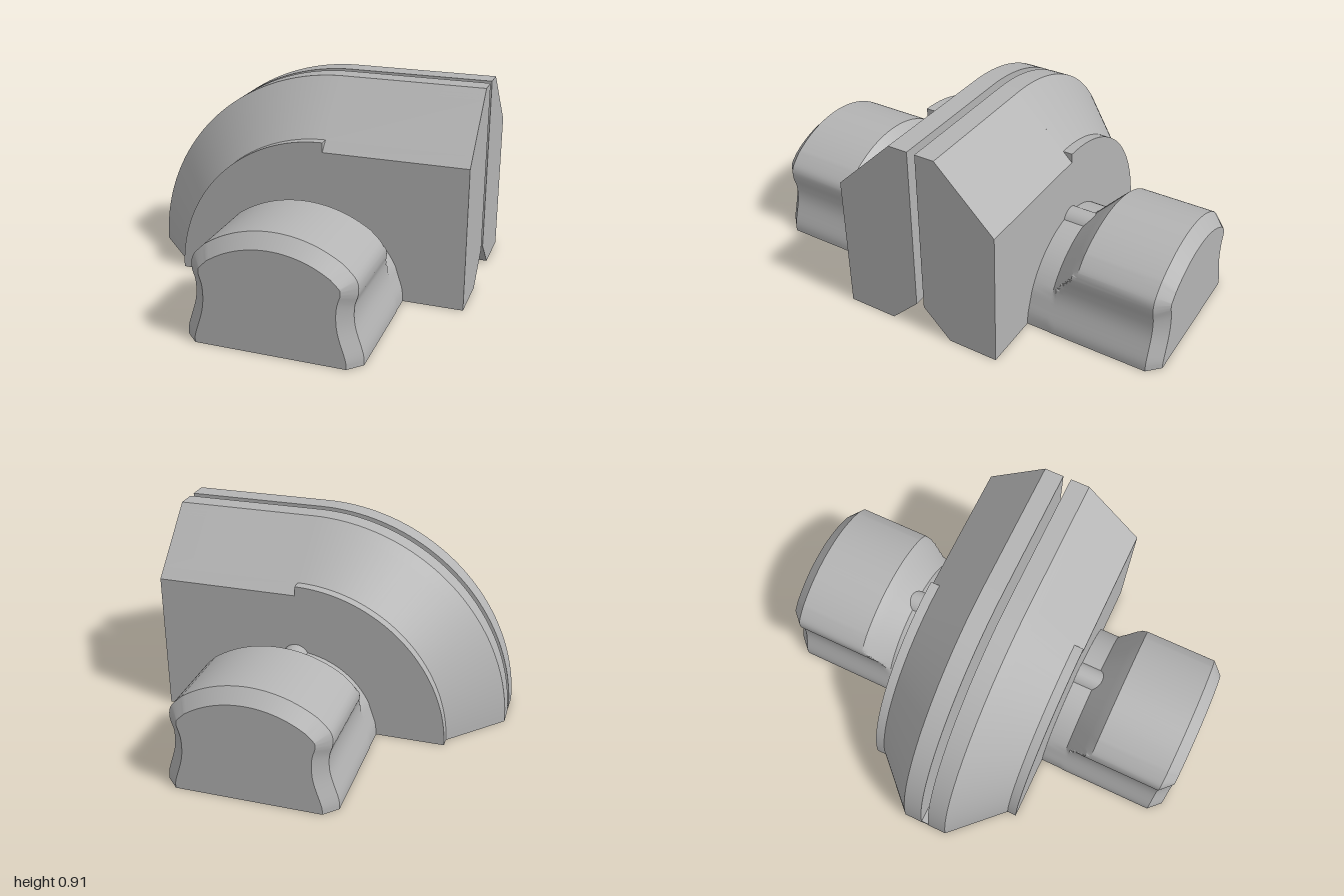
import * as THREE from 'three';
import { toCreasedNormals } from 'three/addons/utils/BufferGeometryUtils.js';

const CX = 0.135;   // shared axis of the rounded body and the shafts
const END = 0.77;   // flat end of the body
const GAP = 0.0185; // half width of the slot

// Skins closed counter-clockwise outlines [x, y] along z and caps both ends.
function loft(outline, zs, side) {
  const rings = zs.map((z) => outline(z).map(([x, y]) => new THREE.Vector3(x, y, z * side)));
  if (side < 0) rings.reverse();
  const pos = [];
  const area = new THREE.Triangle();
  const tri = (a, b, c) => {
    if (area.set(a, b, c).getArea() > 1e-9) for (const p of [a, b, c]) pos.push(p.x, p.y, p.z);
  };
  const n = rings[0].length;
  for (let k = 0; k < rings.length - 1; k++) {
    const p = rings[k], q = rings[k + 1];
    for (let i = 0; i < n; i++) {
      const j = (i + 1) % n;
      tri(p[i], p[j], q[j]);
      tri(p[i], q[j], q[i]);
    }
  }
  const cap = (ring, facing) => {
    const flat = ring.map((p) => new THREE.Vector2(p.x, p.y));
    for (const [i, j, k] of THREE.ShapeUtils.triangulateShape(flat, [])) {
      const a = ring[i], b = ring[j], c = ring[k];
      const turn = (b.x - a.x) * (c.y - a.y) - (b.y - a.y) * (c.x - a.x);
      if (turn * facing > 0) tri(a, b, c);
      else tri(a, c, b);
    }
  };
  cap(rings[0], -1);
  cap(rings[rings.length - 1], 1);
  const geo = new THREE.BufferGeometry();
  geo.setAttribute('position', new THREE.Float32BufferAttribute(pos, 3));
  return toCreasedNormals(geo, 0.5);
}

// Body outline: straight top, quarter arc, flat base with a V groove ending in a cone.
function bodyOutline(z) {
  const top = 0.906 - Math.max(0, z - 0.108) * 0.99;
  const radius = Math.max(top, 0.68);
  const pts = [[END, top], [CX, top]];
  for (let i = 0; i <= 40; i++) {
    const a = Math.PI / 2 * (1 + i / 40);
    pts.push([CX + radius * Math.cos(a), i === 40 ? 0 : radius * Math.sin(a)]);
  }
  const reach = Math.sqrt(Math.max(0, 0.15 ** 2 - z * z));
  for (let i = 0; i <= 12; i++) {
    const d = reach * (1 - i / 12);
    pts.push([CX - d, Math.max(0, 0.15 - Math.hypot(d, z))]);
  }
  pts.push([END, Math.max(0, 0.15 - z)]);
  return pts;
}

// Shaft profile about its axis: waisted flanks under a round crown.
function shaftProfile() {
  const flank = new THREE.SplineCurve([
    [0.372, 0], [0.368, 0.05], [0.335, 0.16], [0.331, 0.24],
    [0.346, 0.3], [0.338, 0.355], [0.287, 0.41],
  ].map(([x, y]) => new THREE.Vector2(x, y)));
  const half = flank.getPoints(30).map((p) => [p.x, p.y]);
  const start = Math.atan2(0.41, 0.287);
  for (let i = 1; i <= 16; i++) {
    const a = start + (Math.PI / 2 - start) * i / 16;
    half.push([0.5 * Math.cos(a), 0.5 * Math.sin(a)]);
  }
  return [...half, ...half.slice(0, -1).reverse().map(([x, y]) => [-x, y])];
}
const PROFILE = shaftProfile();

// Moves the profile inwards, keeping the base on the ground.
function inset(d) {
  const last = PROFILE.length - 1;
  return PROFILE.map(([x, y], i) => {
    if (i === 0 || i === last) return [x - Math.sign(x) * d, 0];
    const a = PROFILE[i - 1], b = PROFILE[i + 1];
    const tx = b[0] - a[0], ty = b[1] - a[1], len = Math.hypot(tx, ty);
    return [x - ty / len * d, y + tx / len * d];
  });
}

// Round neck, conical shoulder, full profile, chamfered end.
function shaftOutline(z) {
  const limit = 0.37 + Math.max(0, z - 0.475) * 1.06;
  return inset(Math.max(0, z - 0.945)).map(([x, y]) => {
    const s = Math.min(1, limit / Math.hypot(x, y));
    return [CX + x * s, y * s];
  });
}

export function createModel() {
  const group = new THREE.Group();
  const grey = new THREE.MeshStandardMaterial({ color: 0xb4b4b4 });
  grey.name = 'plain grey';
  const add = (name, geo) => {
    const mesh = new THREE.Mesh(geo, grey);
    mesh.name = name;
    group.add(mesh);
    return mesh;
  };

  const bodyZ = [GAP, 0.04, 0.06, 0.085, 0.108, 0.13, 0.142, 0.15, 0.3363, 0.38];
  const shaftZ = [0.38, 0.475, 0.495, 0.515, 0.535, 0.555, 0.575, 0.6, 0.945, 1];
  for (const side of [1, -1]) {
    const end = side > 0 ? 'front' : 'back';
    add(end + 'Body', loft(bodyOutline, bodyZ, side));
    add(end + 'Shaft', loft(shaftOutline, shaftZ, side));
    // small locating pin on the neck
    const pin = new THREE.CylinderGeometry(0.06, 0.06, 0.14, 24).rotateX(Math.PI / 2);
    add(end + 'Pin', pin).position.set(CX, 0.34, side * 0.45);
  }

  // thin web joining the two halves under the slot
  add('web', new THREE.BoxGeometry(0.77, 0.02, GAP * 2)).position.set(-0.385, 0.01, 0);
  return group;
}
